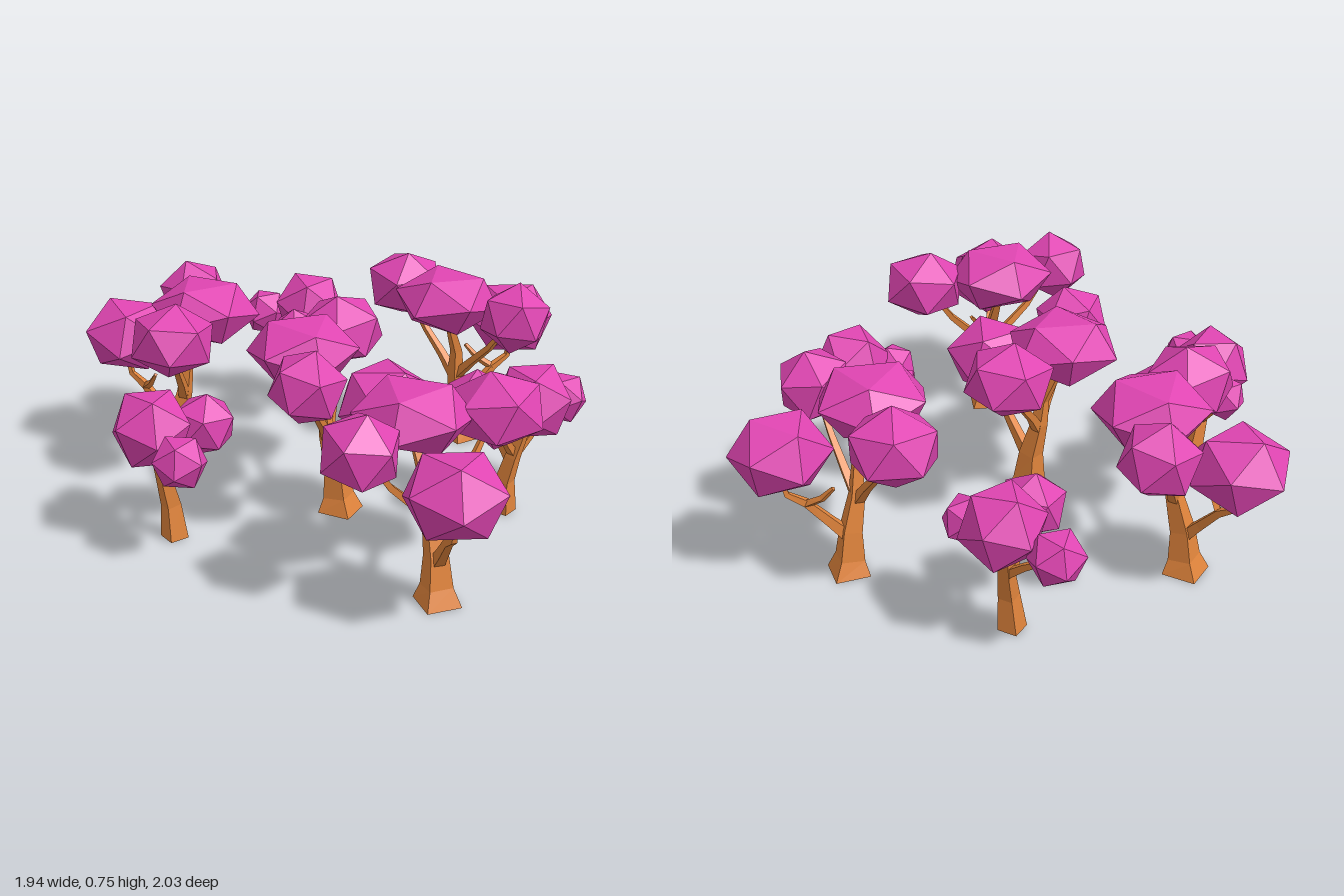
import * as THREE from 'three';

const leafMat = new THREE.MeshStandardMaterial({ color: 0xe045b2, flatShading: true });
const barkMat = new THREE.MeshStandardMaterial({ color: 0xe0843c, flatShading: true });

// Four-sided tapered limb through [x, y, z, radius] stations
function limb(name, stations) {
  const pts = stations.map(s => new THREE.Vector3(s[0], s[1], s[2]));
  const n = pts.length, span = pts[n - 1].clone().sub(pts[0]);
  const ref = Math.abs(span.x) > Math.abs(span.z) ? new THREE.Vector3(0, 0, 1) : new THREE.Vector3(1, 0, 0);
  const pos = [], idx = [];
  pts.forEach((p, i) => {
    const t = pts[Math.min(i + 1, n - 1)].clone().sub(pts[Math.max(i - 1, 0)]).normalize();
    if (i === 0 && p.y === 0) t.set(0, 1, 0); // flat foot on the ground
    const u = ref.clone().addScaledVector(t, -ref.dot(t)).normalize();
    const v = t.clone().cross(u);
    for (let k = 0; k < 4; k++) {
      const a = 0.65 + k * Math.PI / 2, r = stations[i][3];
      const c = p.clone().addScaledVector(u, r * Math.cos(a)).addScaledVector(v, r * Math.sin(a));
      pos.push(c.x, c.y, c.z);
    }
  });
  for (let i = 0; i < n - 1; i++) {
    for (let k = 0; k < 4; k++) {
      const a = i * 4 + k, b = i * 4 + (k + 1) % 4;
      idx.push(a, b, b + 4, a, b + 4, a + 4);
    }
  }
  const e = (n - 1) * 4;
  idx.push(0, 2, 1, 0, 3, 2, e, e + 1, e + 2, e, e + 2, e + 3);
  let geo = new THREE.BufferGeometry();
  geo.setAttribute('position', new THREE.Float32BufferAttribute(pos, 3));
  geo.setIndex(idx);
  geo = geo.toNonIndexed();
  geo.computeVertexNormals();
  const mesh = new THREE.Mesh(geo, barkMat);
  mesh.name = name;
  return mesh;
}

// Faceted leaf clump: a tilted icosahedron squashed in height
function clump(name, x, y, z, r, squash, tilt) {
  const geo = new THREE.IcosahedronGeometry(r, 0);
  geo.rotateX(tilt).rotateY(tilt * 2.3).scale(1, squash, 1);
  geo.computeVertexNormals();
  const mesh = new THREE.Mesh(geo, leafMat);
  mesh.position.set(x, y, z);
  mesh.name = name;
  return mesh;
}

function largeTree() {
  const tree = new THREE.Group();
  tree.name = 'largeTree';
  tree.add(
    limb('trunk', [[0, 0, 0, 0.088], [0.008, 0.06, 0, 0.06], [0.018, 0.17, 0, 0.046], [0.05, 0.3, -0.005, 0.033], [0.062, 0.4, -0.015, 0.024], [0.125, 0.54, -0.03, 0.015]]),
    limb('sideBranch', [[0.015, 0.14, 0, 0.03], [-0.05, 0.215, -0.02, 0.023], [-0.12, 0.295, -0.045, 0.018], [-0.18, 0.335, -0.065, 0.013], [-0.2, 0.42, -0.07, 0.01]]),
    limb('sideTwig', [[-0.12, 0.29, -0.045, 0.016], [-0.08, 0.33, 0.01, 0.013], [-0.05, 0.38, 0.045, 0.008]]),
    limb('backBranch', [[0.05, 0.28, 0, 0.025], [0.04, 0.36, -0.075, 0.019], [0.035, 0.45, -0.17, 0.015], [0.027, 0.56, -0.25, 0.01]]),
    limb('frontBranch', [[0.05, 0.28, 0, 0.025], [0.06, 0.36, 0.065, 0.019], [0.07, 0.45, 0.155, 0.015], [0.087, 0.56, 0.23, 0.01]]),
    clump('crown', 0.137, 0.635, -0.03, 0.21, 0.6, 0.3),
    clump('sideFoliage', -0.186, 0.498, -0.07, 0.181, 0.83, 0.5),
    clump('backFoliage', 0.027, 0.605, -0.287, 0.142, 0.98, 0.8),
    clump('frontFoliage', 0.087, 0.615, 0.265, 0.167, 0.82, 1.2)
  );
  return tree;
}

function smallTree() {
  const tree = new THREE.Group();
  tree.name = 'smallTree';
  tree.add(
    limb('trunk', [[0, 0, 0, 0.051], [0.008, 0.13, -0.005, 0.038], [0.005, 0.23, -0.03, 0.031], [-0.01, 0.4, -0.08, 0.02]]),
    limb('frontBranch', [[0, 0.21, -0.02, 0.021], [-0.01, 0.29, 0.04, 0.016], [-0.02, 0.37, 0.11, 0.01]]),
    limb('longBranch', [[0, 0.24, -0.035, 0.021], [-0.08, 0.31, -0.07, 0.016], [-0.18, 0.38, -0.11, 0.01]]),
    limb('shortBranch', [[0, 0.24, -0.03, 0.021], [0.07, 0.31, -0.03, 0.016], [0.12, 0.38, -0.02, 0.01]]),
    clump('crown', -0.01, 0.46, -0.09, 0.15, 1, 0.45),
    clump('frontFoliage', -0.02, 0.41, 0.135, 0.12, 0.98, 0.9),
    clump('longFoliage', -0.205, 0.41, -0.123, 0.1, 1, 0.3),
    clump('shortFoliage', 0.14, 0.41, -0.023, 0.092, 1, 0.7)
  );
  return tree;
}

export function createModel() {
  const grove = new THREE.Group();
  grove.name = 'grove';
  // [builder, x, z, turn in degrees]
  const layout = [
    [largeTree, -0.622, -0.248, 0],
    [largeTree, 0.48, -0.68, 130],
    [largeTree, 0.1, 0.055, 189],
    [largeTree, 0.527, 0.65, 232],
    [smallTree, -0.18, -0.775, 0],
    [smallTree, 0.695, -0.051, 110],
    [smallTree, -0.452, 0.37, 216]
  ];
  for (const [build, x, z, turn] of layout) {
    const tree = build();
    tree.position.set(x, 0, z);
    tree.rotation.y = -THREE.MathUtils.degToRad(turn);
    grove.add(tree);
  }
  return grove;
}
